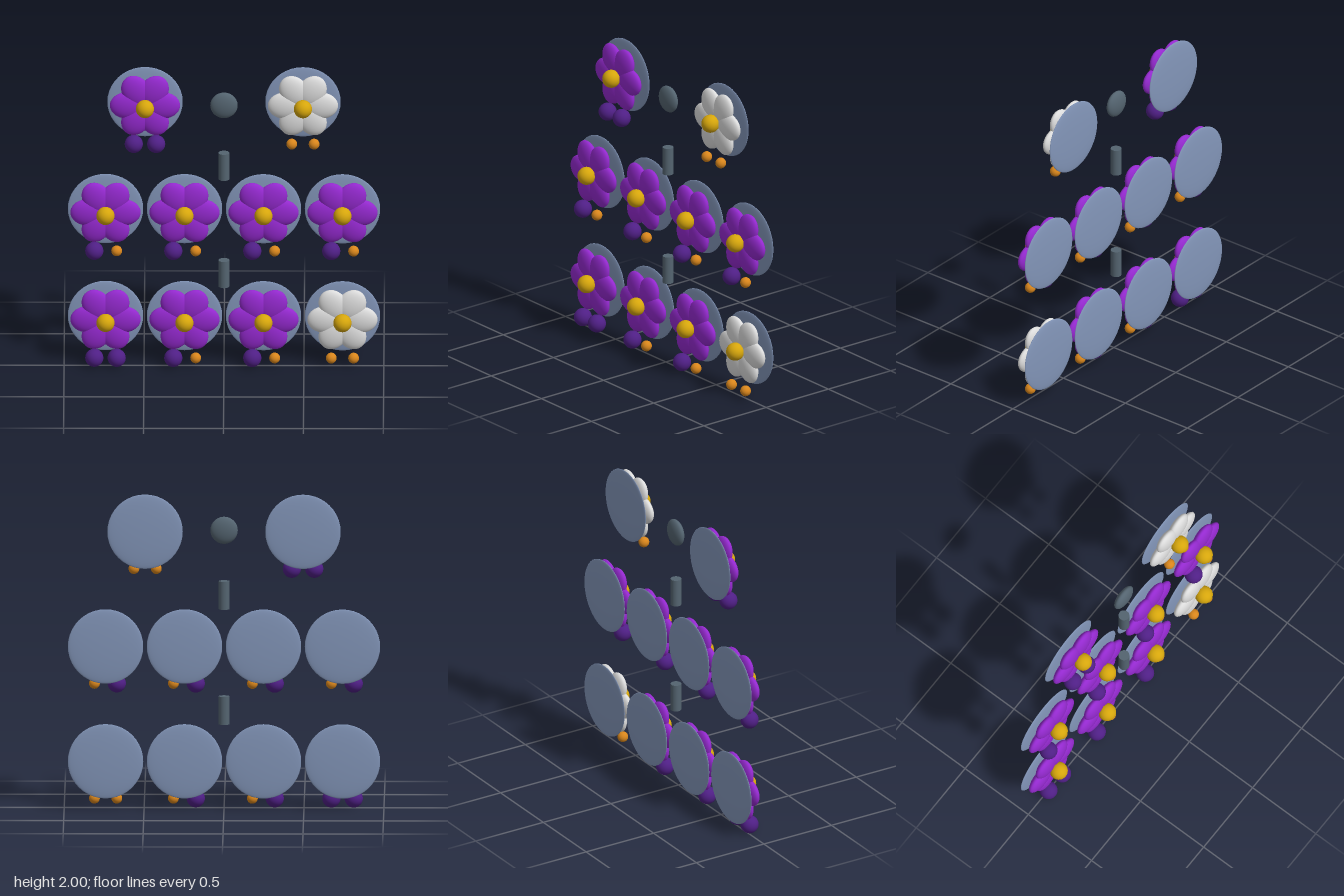
import * as THREE from 'three';

const mat = (name, color) => {
  const m = new THREE.MeshStandardMaterial({ color });
  m.name = name;
  return m;
};

export function createModel() {
  const purple = mat('petal purple', 0x9429cf);
  const white = mat('petal white', 0xdcdcdc);
  const gold = mat('gold', 0xd6a60c);
  const violet = mat('dark violet', 0x4f1f85);
  const orange = mat('orange', 0xd9861c);
  const blue = mat('disc blue', 0x8295b8);
  const slate = mat('slate', 0x546470);

  const root = new THREE.Group();
  root.name = 'flowerClock';
  const ball = new THREE.SphereGeometry(1, 32, 20);

  // Ellipsoid with the given centre and half sizes
  const blob = (parent, name, material, pos, size) => {
    const m = new THREE.Mesh(ball, material);
    m.name = name;
    m.position.set(...pos);
    m.scale.set(...size);
    parent.add(m);
    return m;
  };

  // Flower: backing disc, six petals, golden centre and two hanging buds
  const flower = (x, y, petalMat, buds) => {
    const g = new THREE.Group();
    g.name = 'flower';
    g.position.set(x, y, 0);
    blob(g, 'backDisc', blue, [0, 0, -0.077], [0.236, 0.236, 0.015]);
    for (let i = 0; i < 6; i++) {
      const a = (i * Math.PI) / 3;
      const p = blob(g, 'petal', petalMat,
        [0.112 * Math.cos(a), 0.112 * Math.sin(a), -0.017], [0.108, 0.088, 0.038]);
      p.rotation.z = a;
    }
    blob(g, 'flowerCentre', gold, [0, 0, 0.04], [0.057, 0.057, 0.057]);
    [...buds].forEach((kind, i) => {
      const big = kind === 'P';
      const r = big ? 0.057 : 0.034;
      blob(g, big ? 'largeBud' : 'smallBud', big ? violet : orange,
        [i ? 0.07 : -0.07, -0.249, 0.013], [r, r, r]);
    });
    root.add(g);
  };

  // Three rows of flowers: x, petal colour, buds (P large, O small)
  const rows = [
    [1.764, [[-0.494, purple, 'PP'], [0.494, white, 'OO']]],
    [1.036, [[-0.741, purple, 'PO'], [-0.247, purple, 'PO'], [0.247, purple, 'PO'], [0.741, purple, 'PO']]],
    [0.308, [[-0.741, purple, 'PP'], [-0.247, purple, 'PO'], [0.247, purple, 'PO'], [0.741, white, 'OO']]],
  ];
  for (const [y, list] of rows) for (const [x, m, buds] of list) flower(x, y, m, buds);

  // Central stone and the two short posts between rows
  blob(root, 'centreStone', slate, [0, 1.764, -0.02], [0.086, 0.086, 0.035]);
  const postGeo = new THREE.CylinderGeometry(0.034, 0.034, 0.178, 24);
  for (const y of [1.353, 0.623]) {
    const post = new THREE.Mesh(postGeo, slate);
    post.name = 'post';
    post.position.set(0, y, -0.018);
    root.add(post);
  }
  return root;
}
